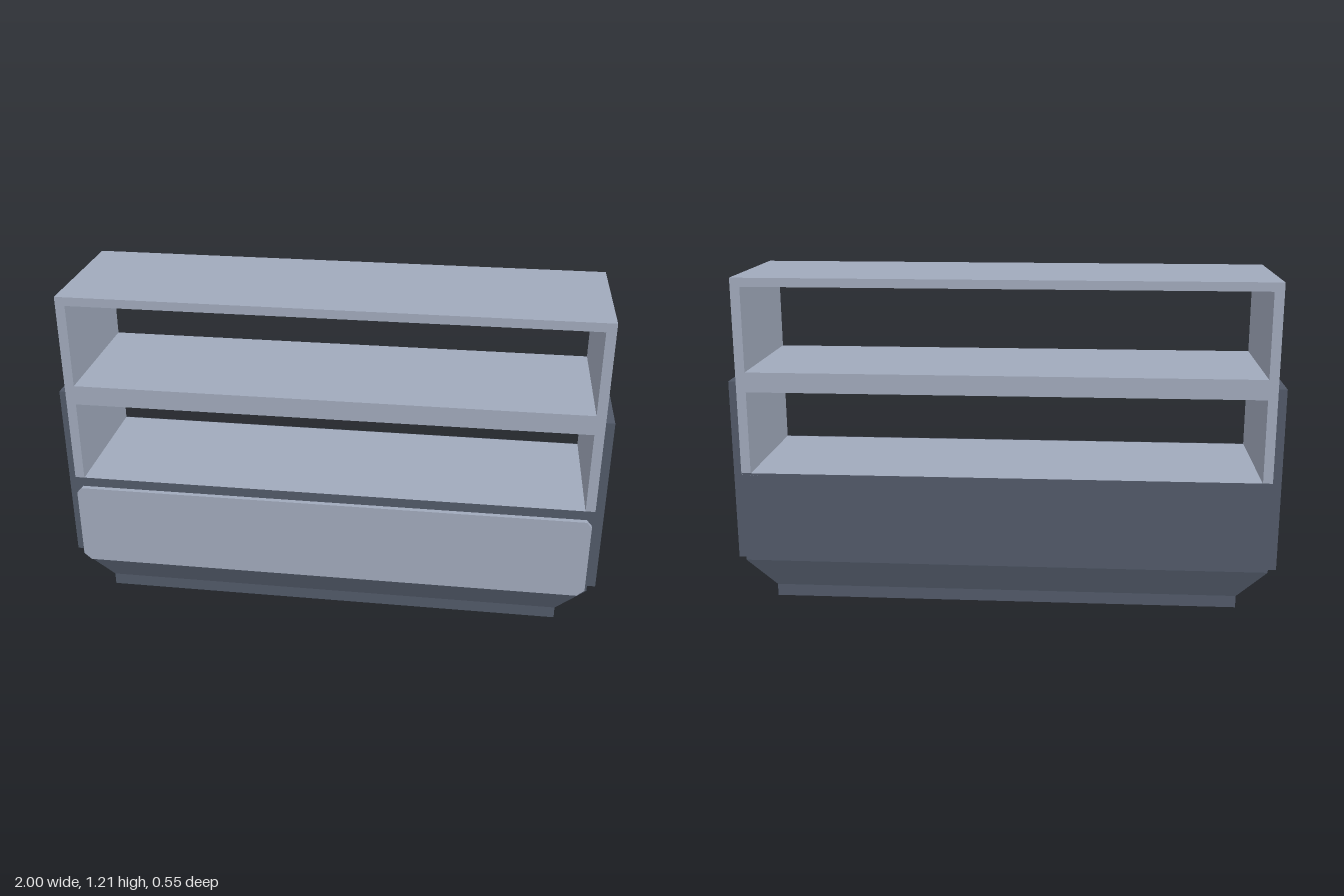
import * as THREE from 'three';

const light = new THREE.MeshStandardMaterial({ name: 'lightGrey', color: 0xa0a9bb });
const dark = new THREE.MeshStandardMaterial({ name: 'darkGrey', color: 0x515968, side: THREE.DoubleSide });

function polygon(Kind, points) {
  return new Kind(points.map(([x, y]) => new THREE.Vector2(x, y)));
}

function rect(Kind, x, y0, y1) {
  return polygon(Kind, [[-x, y0], [x, y0], [x, y1], [-x, y1]]);
}

function extrude(shape, z0, z1) {
  const geometry = new THREE.ExtrudeGeometry(shape, { depth: z1 - z0, bevelEnabled: false });
  return geometry.translate(0, 0, z0);
}

// Flat-sided shell through rectangular sections [y, half width, back z, front z]
function shell(sections) {
  const positions = [];
  const ring = ([y, x, back, front]) => [[-x, y, front], [x, y, front], [x, y, back], [-x, y, back]];
  for (let i = 0; i < sections.length - 1; i++) {
    const low = ring(sections[i]);
    const high = ring(sections[i + 1]);
    for (let j = 0; j < 4; j++) {
      const k = (j + 1) % 4;
      for (const p of [low[j], low[k], high[k], low[j], high[k], high[j]]) positions.push(...p);
    }
  }
  const geometry = new THREE.BufferGeometry();
  geometry.setAttribute('position', new THREE.Float32BufferAttribute(positions, 3));
  geometry.computeVertexNormals();
  return geometry;
}

export function createModel() {
  const model = new THREE.Group();
  model.name = 'shelfCounter';
  const add = (name, geometry, material) => {
    const mesh = new THREE.Mesh(geometry, material);
    mesh.name = name;
    model.add(mesh);
    return mesh;
  };

  // Shelf frame, open through from front to back
  const frame = rect(THREE.Shape, 0.965, 0.484, 1.21);
  frame.holes.push(rect(THREE.Path, 0.93, 0.491, 0.797), rect(THREE.Path, 0.93, 0.87, 1.178));
  add('shelfFrame', extrude(frame, -0.275, 0.255), light);

  // Hollow lower body tapering to a plinth, open underneath
  add('lowerBody', shell([
    [0.045, 0.86, -0.245, 0.225],
    [0.152, 0.966, -0.275, 0.256],
    [0.492, 0.966, -0.275, 0.256],
  ]), dark);
  add('plinth', shell([
    [0, 0.86, -0.245, 0.225],
    [0.045, 0.86, -0.245, 0.225],
  ]), dark);

  // Front panel with clipped corners
  const panel = polygon(THREE.Shape, [
    [-0.93, 0.14], [0.93, 0.14], [0.957, 0.165], [0.957, 0.435],
    [0.938, 0.456], [-0.938, 0.456], [-0.957, 0.435], [-0.957, 0.165],
  ]);
  add('frontPanel', extrude(panel, 0.255, 0.275), light);

  // Side panels
  for (const side of [1, -1]) {
    const mesh = add(side > 0 ? 'leftSidePanel' : 'rightSidePanel',
      new THREE.BoxGeometry(0.036, 0.677, 0.475), dark);
    mesh.position.set(side * 0.982, 0.4925, -0.0125);
  }

  return model;
}
